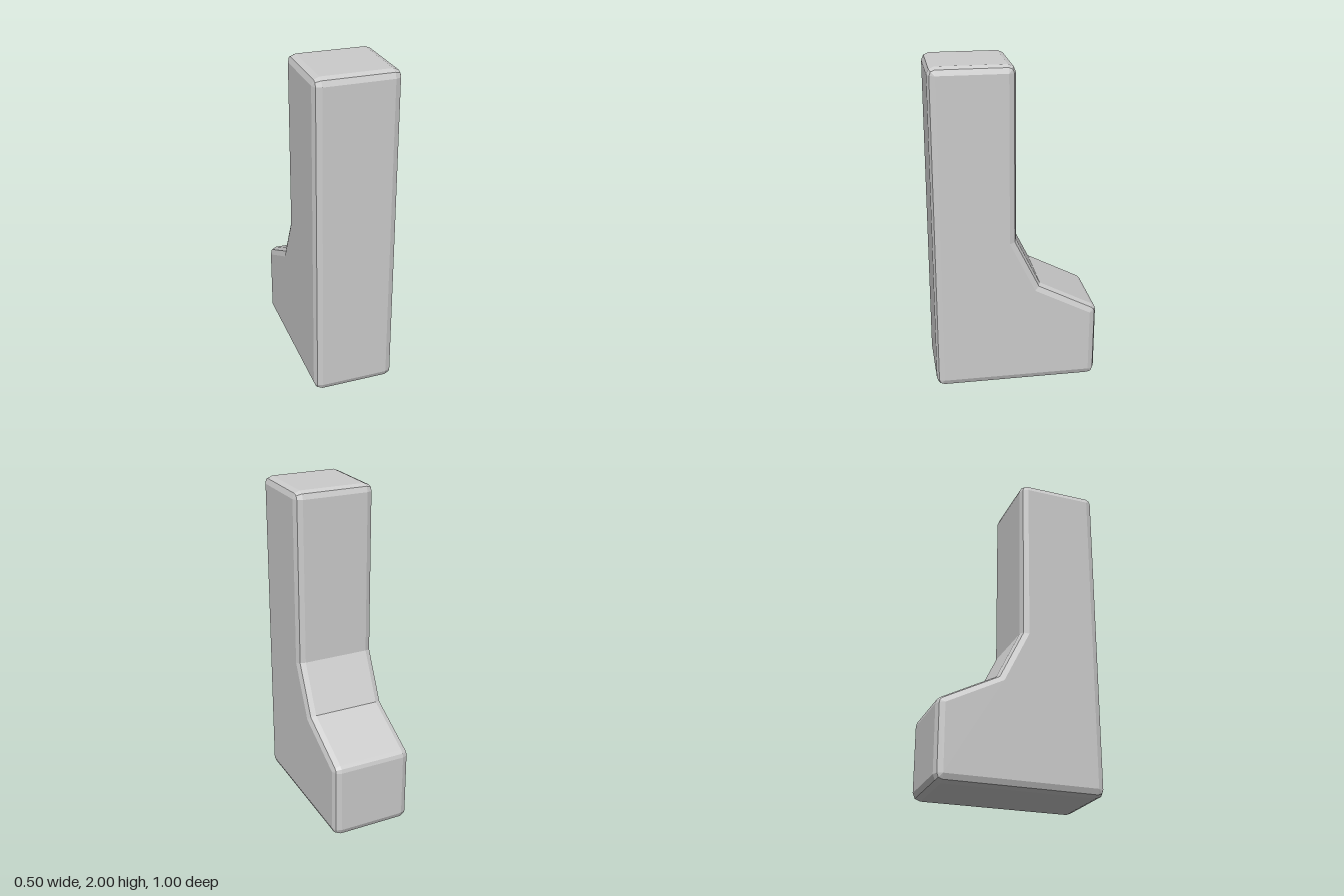
import * as THREE from 'three';

// Side profile as (z, y), counter-clockwise
const PROFILE = [[-0.5, 0], [0.5, 0], [0.5, 2], [0.004, 2], [0, 0.95], [-0.145, 0.655], [-0.5, 0.472]]
  .map(([z, y]) => new THREE.Vector2(z, y));
const HALF_WIDTH = 0.25;
const BEVEL = 0.045;

// Each corner as an inset centre plus the directions its rounding sweeps through
function makeCorners(points) {
  const n = points.length;
  const normal = (a, b) => new THREE.Vector2(b.y - a.y, a.x - b.x).normalize();
  return points.map((p, i) => {
    const prev = points[(i + n - 1) % n], next = points[(i + 1) % n];
    const n1 = normal(prev, p), n2 = normal(p, next);
    const miter = n1.clone().add(n2).divideScalar(1 + n1.dot(n2));
    const convex = n1.cross(n2) > 0;
    return {
      centre: p.clone().addScaledVector(miter, -BEVEL),
      dirs: convex ? [n1, miter.clone().normalize(), n2] : [miter],
    };
  });
}

// Extrusion across x whose edges are all rounded in two facets
function roundedProfile(points) {
  const corners = makeCorners(points);
  const ring = (x, radius) => corners.flatMap(({ centre, dirs }) => dirs.map((d) =>
    new THREE.Vector3(x, centre.y + d.y * radius, centre.x + d.x * radius)));
  const rings = [];
  for (const side of [1, -1]) {
    for (let k = 0; k < 3; k++) {
      const angle = (side > 0 ? k : 2 - k) * Math.PI / 4;
      const x = side * (HALF_WIDTH - BEVEL + BEVEL * Math.cos(angle));
      rings.push(ring(x, BEVEL * Math.sin(angle)));
    }
  }

  const positions = [];
  const tri = (a, b, c) => {
    if (new THREE.Triangle(a, b, c).getArea() < 1e-9) return; // collapsed corner facets
    for (const v of [a, b, c]) positions.push(v.x, v.y, v.z);
  };
  // Bevels and walls
  for (let k = 0; k < rings.length - 1; k++) {
    const r = rings[k], s = rings[k + 1];
    r.forEach((a, i) => {
      const j = (i + 1) % r.length;
      tri(a, r[j], s[j]);
      tri(a, s[j], s[i]);
    });
  }
  // Flat side faces
  const inner = corners.map((c) => c.centre);
  const at = (x, i) => new THREE.Vector3(x, inner[i].y, inner[i].x);
  for (const [a, b, c] of THREE.ShapeUtils.triangulateShape(inner, [])) {
    tri(at(HALF_WIDTH, c), at(HALF_WIDTH, b), at(HALF_WIDTH, a));
    tri(at(-HALF_WIDTH, a), at(-HALF_WIDTH, b), at(-HALF_WIDTH, c));
  }

  const geometry = new THREE.BufferGeometry();
  geometry.setAttribute('position', new THREE.Float32BufferAttribute(positions, 3));
  geometry.computeVertexNormals();
  return geometry;
}

export function createModel() {
  const group = new THREE.Group();
  group.name = 'steppedPillar';
  const material = new THREE.MeshStandardMaterial({ color: 0xcccccc, flatShading: true });
  const pillar = new THREE.Mesh(roundedProfile(PROFILE), material);
  pillar.name = 'pillarWithSlopedFoot';
  group.add(pillar);
  return group;
}
